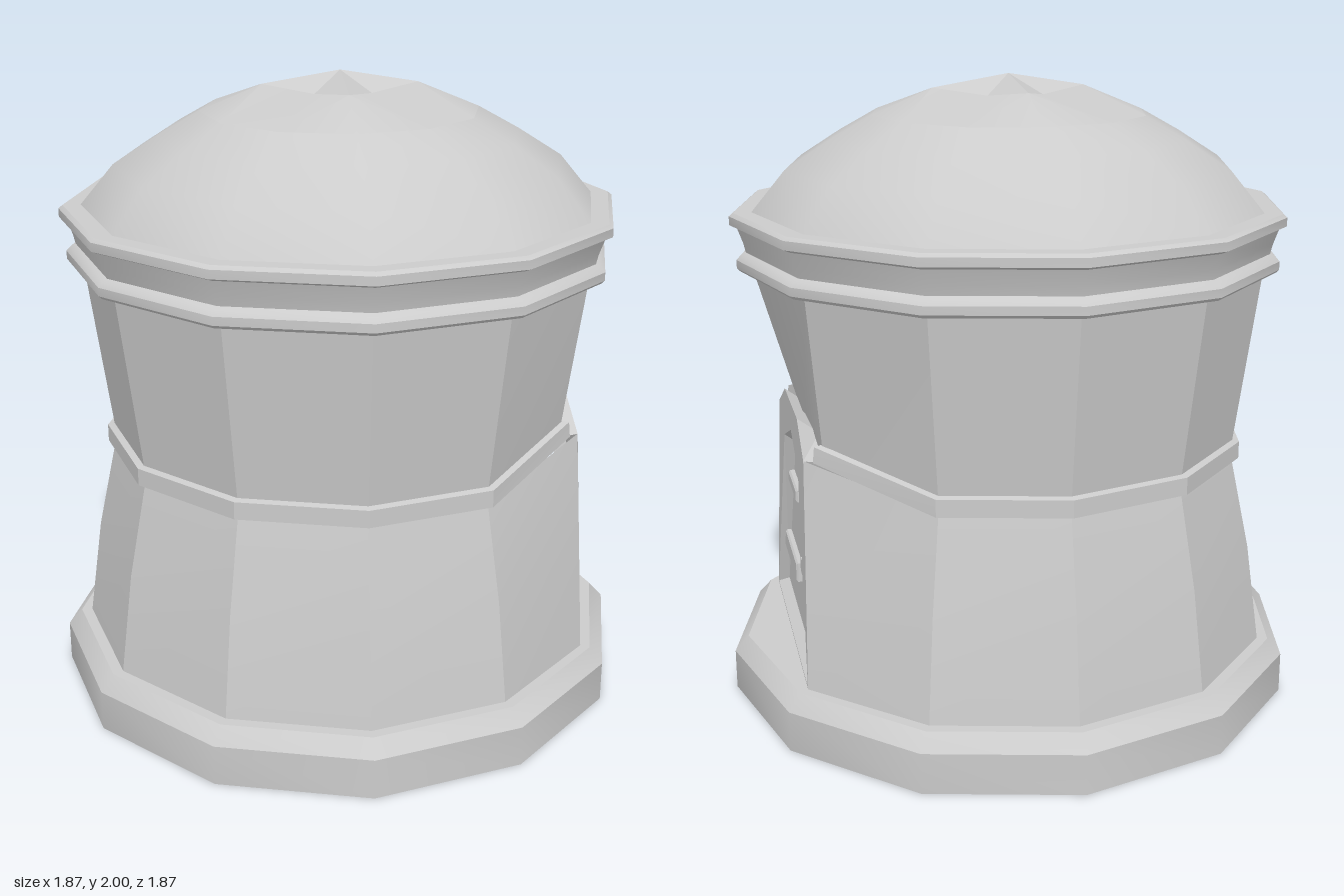
import * as THREE from 'three';
import { toCreasedNormals } from 'three/addons/utils/BufferGeometryUtils.js';

const mat = new THREE.MeshStandardMaterial({ color: 0xcccccc });
const matDouble = new THREE.MeshStandardMaterial({ color: 0xcccccc, side: THREE.DoubleSide });
const SIDES = 12;

function add(parent, name, geometry, material = mat) {
  const mesh = new THREE.Mesh(geometry, material);
  mesh.name = name;
  parent.add(mesh);
  return mesh;
}

// Point on the twelve-sided plan, corner k, counted from +x
function corner(r, y, k) {
  const a = (k * Math.PI * 2) / SIDES;
  return [r * Math.cos(a), y, -r * Math.sin(a)];
}

function fromTriangles(points, crease) {
  const g = new THREE.BufferGeometry();
  g.setAttribute('position', new THREE.Float32BufferAttribute(points.flat(), 3));
  g.computeVertexNormals();
  return toCreasedNormals(g, crease);
}

// Skin over rows of points, rows running upward
function skin(rows, crease) {
  const tri = [];
  for (let j = 0; j < rows.length - 1; j++) {
    for (let i = 0; i < rows[j].length - 1; i++) {
      const a = rows[j][i], b = rows[j][i + 1], c = rows[j + 1][i + 1], d = rows[j + 1][i];
      tri.push(a, b, c, a, c, d);
    }
  }
  return fromTriangles(tri, crease);
}

function turned(profile, crease) {
  const pts = profile.map(([r, y]) => new THREE.Vector2(r, y));
  return toCreasedNormals(new THREE.LatheGeometry(pts, SIDES), crease);
}

const outline = (pts) => pts.map(([x, y]) => new THREE.Vector2(x, y));
const range = (from, to, fn) => Array.from({ length: to - from + 1 }, (_, i) => fn(from + i));

// Ring of wall corners 1..11, with its two ends placed at the doorway
function openRing(r, y, end) {
  return range(1, 11, (k) => {
    if (k === 1) return [end[0], end[1], -end[2]];
    if (k === 11) return end;
    return corner(r, y, k);
  });
}

function buildDoorway() {
  // Local frame: x across, y up from the plinth, z outward
  const doorway = new THREE.Group();
  doorway.name = 'doorway';
  const panel = new THREE.Group();
  panel.name = 'doorwayPanel';
  panel.position.z = 0.745;
  panel.position.y = 0.18;
  panel.rotation.x = -0.0316;
  doorway.rotation.y = Math.PI / 2;
  doorway.add(panel);

  const doorOuter = [[-0.42, 0.005], [0.42, 0.005], [0.19, 0.63], [0, 0.705], [-0.19, 0.63]];
  const doorInner = [[-0.395, 0.025], [0.395, 0.025], [0.168, 0.61], [0, 0.672], [-0.168, 0.61]];
  const depth = 0.035;

  // Flat surround with the door opening
  const face = new THREE.Shape(outline([
    [-0.4275, 0], [0.4275, 0], [0.335, 0.71], [0.17, 0.795], [-0.17, 0.795], [-0.335, 0.71],
  ]));
  face.holes.push(new THREE.Path(outline(doorOuter)));
  add(panel, 'doorSurround', new THREE.ShapeGeometry(face), matDouble);

  // Sloped reveal around the door
  const loop = (pts, z) => [...pts, pts[0]].map(([x, y]) => [x, y, z]);
  add(panel, 'doorReveal', skin([loop(doorOuter, 0), loop(doorInner, -depth)], 0.1), matDouble);

  const leaf = add(panel, 'doorLeaf', new THREE.ShapeGeometry(new THREE.Shape(outline(doorInner))));
  leaf.position.z = -depth;

  // Hood running back from the surround to the wall
  const hood = [[0.335, 0.71, 0.7], [0.17, 0.795, 0.745], [-0.17, 0.795, 0.745], [-0.335, 0.71, 0.7]];
  add(panel, 'doorHood', skin([
    hood.map(([x, y]) => [x, y, 0]),
    hood.map(([x, , y]) => [x, y, -0.07]),
  ], 0.1), matDouble);

  // Hinge straps, slanted to follow the door edge
  for (const [bottom, top, y0, y1] of [[-0.345, -0.32, 0.175, 0.24], [-0.232, -0.215, 0.455, 0.495]]) {
    const b = 0.006;
    const strap = new THREE.Shape(outline([
      [bottom + b, y0 + b], [-b, y0 + b], [-b, y1 - b], [top + b, y1 - b],
    ]));
    const g = new THREE.ExtrudeGeometry(strap, {
      depth: 0.014, bevelEnabled: true, bevelThickness: b, bevelSize: b, bevelSegments: 1,
    });
    add(panel, 'hingeStrap', g).position.z = -depth;
  }

  // Six-sided knob
  const knobGeometry = new THREE.CylinderGeometry(0.036, 0.046, 0.025, 6).toNonIndexed();
  knobGeometry.computeVertexNormals();
  knobGeometry.rotateY(Math.PI / 2).rotateX(Math.PI / 2).scale(1, 0.75, 1);
  add(panel, 'doorKnob', knobGeometry).position.set(0.19, 0.31, -depth + 0.0125);
  return doorway;
}

export function createModel() {
  const model = new THREE.Group();
  model.name = 'roundTower';

  add(model, 'plinth', turned([[0, 0], [0.935, 0], [0.935, 0.13], [0.89, 0.18], [0, 0.18]], 0.6));

  // Lower wall, narrowing upward and open at the doorway
  add(model, 'lowerWall', skin([
    openRing(0.855, 0.18, [0.745, 0.18, 0.4275]),
    openRing(0.81, 0.5, [0.735, 0.5, 0.386]),
    openRing(0.745, 0.8, [0.722, 0.89, 0.335]),
  ], 0.3), matDouble);

  // Waist band, rising to the doorway at both ends
  add(model, 'waistBand', skin([
    openRing(0.735, 0.8, [0.66, 0.885, 0.33]),
    openRing(0.768, 0.8, [0.695, 0.885, 0.345]),
    openRing(0.768, 0.855, [0.69, 0.935, 0.345]),
    openRing(0.735, 0.862, [0.65, 0.94, 0.33]),
  ], 0.3), matDouble);

  // Upper wall, flaring upward, pulled in above the door
  const upperFoot = range(0, 12, (k) => {
    if (k % 12 === 0) return [0.675, 0.92, 0];
    if (k === 1 || k === 11) return [0.66, 0.88, k === 1 ? -0.335 : 0.335];
    return corner(0.745, 0.85, k);
  });
  add(model, 'upperWall', skin([upperFoot, range(0, 12, (k) => corner(0.82, 1.42, k))], 0.3), matDouble);

  add(model, 'cornice', turned([
    [0.8, 1.412], [0.858, 1.412], [0.868, 1.422], [0.868, 1.448], [0.855, 1.462],
    [0.838, 1.47], [0.845, 1.5], [0.862, 1.548], [0.885, 1.558], [0.885, 1.585],
    [0.872, 1.595], [0.8, 1.595],
  ], 0.6));

  add(model, 'dome', turned([[0.82, 1.59], [0.71, 1.72], [0.57, 1.808], [0.44, 1.88]], 0.6));

  // Crown of the dome with a four-pointed star
  const crown = [], star = [];
  const top = [0, 2, 0];
  for (let q = 0; q < 4; q++) {
    const [r0, r1, r2] = [0, 1, 2].map((i) => corner(0.44, 1.88, q * 3 + i));
    const r3 = corner(0.44, 1.88, q * 3 + 3);
    const tip = corner(0.245, 1.96, q * 3), next = corner(0.245, 1.96, q * 3 + 3);
    const valley = corner(0.125, 1.94, q * 3 + 1.5);
    crown.push(tip, r0, r1, tip, r1, valley, valley, r1, r2, valley, r2, next, next, r2, r3);
    star.push(top, tip, valley, top, valley, next);
  }
  add(model, 'domeCrown', fromTriangles(crown, 0.5));
  add(model, 'domeStar', fromTriangles(star, 0.05));

  model.add(buildDoorway());
  return model;
}
